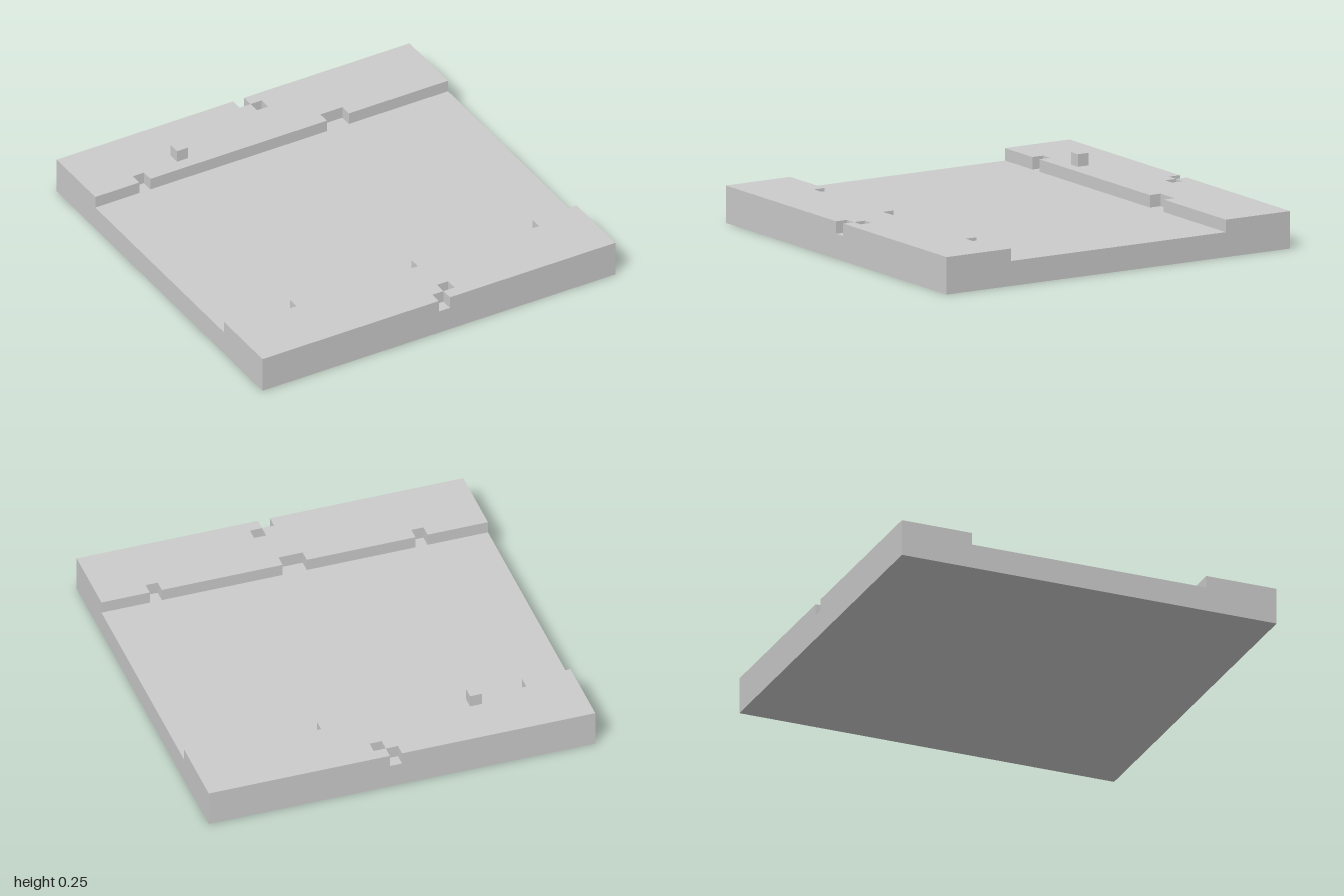
import * as THREE from 'three';

const U = 1 / 16; // everything sits on a 1/16 grid
const material = new THREE.MeshStandardMaterial({ color: 0xcccccc, flatShading: true });

// Box given by its grid corners
function box(name, [x0, y0, z0], [x1, y1, z1]) {
  const geometry = new THREE.BoxGeometry((x1 - x0) * U, (y1 - y0) * U, (z1 - z0) * U);
  geometry.translate((x0 + x1) * U / 2, (y0 + y1) * U / 2, (z0 + z1) * U / 2);
  const mesh = new THREE.Mesh(geometry, material);
  mesh.name = name;
  return mesh;
}

// Raised strip along one edge; side is +1 for the front, -1 for the back.
// notches lists the [start, end] cuts along its inner edge.
function raisedStrip(name, side, notches) {
  const group = new THREE.Group();
  group.name = name;

  // Inner band: notched inner edge, plus the square pit next to the outer band
  const outline = [[-16, 15], [-16, 10]];
  for (const [a, b] of notches) outline.push([a, 10], [a, 11], [b, 11], [b, 10]);
  outline.push([16, 10], [16, 15], [2, 15], [2, 14], [1, 14], [1, 15]);
  const shape = new THREE.Shape(outline.map(([x, z]) => new THREE.Vector2(x * U, -side * z * U)));
  const geometry = new THREE.ExtrudeGeometry(shape, { depth: U, bevelEnabled: false });
  geometry.rotateX(-Math.PI / 2);
  geometry.translate(0, 2 * U, 0);
  const inner = new THREE.Mesh(geometry, material);
  inner.name = name + 'InnerBand';
  group.add(inner);

  // Outer band, interrupted by the edge notch
  const [z0, z1] = side > 0 ? [15, 16] : [-16, -15];
  group.add(
    box(name + 'OuterRight', [-16, 2, z0], [0, 3, z1]),
    box(name + 'OuterLeft', [1, 2, z0], [16, 3, z1]),
  );
  return group;
}

export function createModel() {
  const model = new THREE.Group();
  model.name = 'channelTile';
  model.add(
    box('baseSlab', [-16, 0, -16], [16, 2, 16]),
    raisedStrip('frontStrip', 1, [[-11, -10], [-1, 1], [11, 12]]),
    raisedStrip('backStrip', -1, [[-12, -11], [5, 7]]),
    box('smallCube', [-8, 3, -12], [-7, 4, -11]),
  );
  return model;
}
